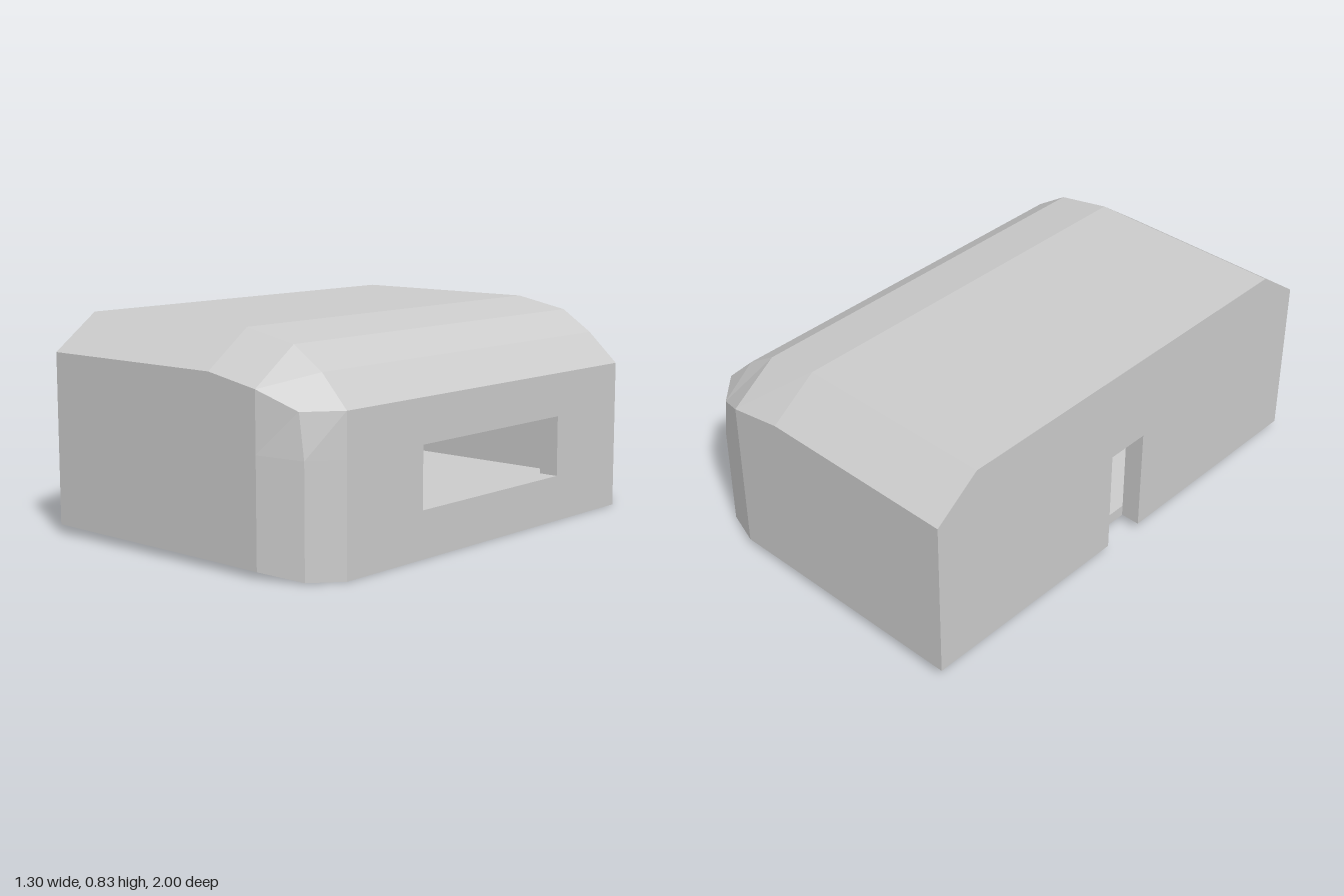
import * as THREE from 'three';

const material = new THREE.MeshStandardMaterial({ color: 0xcccccc, flatShading: true });

// Skin between successive rings of [x, y, z] points; flip turns it inward.
function loft(rings, { closed = false, flip = false } = {}) {
  const pos = [];
  const tri = (...p) => {
    const [a, b, c] = p.map((q) => new THREE.Vector3(...q));
    if (new THREE.Triangle(a, b, c).getArea() < 1e-7) return;
    for (const v of flip ? [a, c, b] : [a, b, c]) pos.push(v.x, v.y, v.z);
  };
  for (let i = 0; i < rings.length - 1; i++) {
    const r = rings[i], s = rings[i + 1], n = r.length;
    for (let j = 0; j < (closed ? n : n - 1); j++) {
      const k = (j + 1) % n;
      tri(r[j], s[j], s[k]);
      tri(r[j], s[k], r[k]);
    }
  }
  const g = new THREE.BufferGeometry();
  g.setAttribute('position', new THREE.Float32BufferAttribute(pos, 3));
  g.computeVertexNormals();
  return g;
}

// Half section (z >= 0, bottom to roof) mirrored to a full arch.
const arch = (half) => [...half, ...half.map(([x, y, z]) => [x, y, -z]).reverse()];

// Flat end wall in the (z, y) plane, facing +x (dir 1) or -x (dir -1).
function endWall(x, outline, dir, hole) {
  const pts = (a) => a.map(([z, y]) => new THREE.Vector2(z, y));
  const shape = new THREE.Shape(pts(outline));
  if (hole) shape.holes.push(new THREE.Path(pts(hole)));
  return new THREE.ShapeGeometry(shape).rotateY((dir * Math.PI) / 2).translate(x, 0, 0);
}
const mirror2 = (half) => [...half, ...half.map(([z, y]) => [-z, y]).reverse()];

export function createModel() {
  const group = new THREE.Group();
  const add = (name, geometry) => {
    const mesh = new THREE.Mesh(geometry, material);
    mesh.name = name;
    group.add(mesh);
  };

  const back = -0.65, backIn = -0.57, front = 0.647, frontIn = 0.567;
  const n = 0.09, notchTop = 0.47, floorTop = 0.08;

  // Outer stations: floor crease, lower edge, side, shoulder, roof edge
  const outer = [
    [[back, 0.035, 0.81], [back, 0.035, 1], [back, 0.42, 1], [back, 0.695, 1], [back, 0.833, 0.81]],
    [[backIn, 0.033, 0.81], [backIn, 0.034, 1], [backIn, 0.42, 1], [backIn, 0.695, 1], [backIn, 0.833, 0.81]],
    [[0.17, 0.012, 0.81], [0.17, 0.028, 1], [0.17, 0.42, 1], [0.17, 0.695, 1], [0.17, 0.833, 0.81]],
    [[0.395, 0.006, 0.81], [0.395, 0.025, 1], [0.395, 0.43, 1], [0.395, 0.655, 1], [0.395, 0.79, 0.81]],
    [[0.56, 0.002, 0.81], [0.56, 0.003, 0.937], [0.56, 0.42, 0.937], [0.537, 0.585, 0.937], [0.525, 0.705, 0.81]],
    [[front, 0, 0.81], [front, 0, 0.82], [front, 0.42, 0.82], [front, 0.587, 0.82], [front, 0.587, 0.82]],
  ];
  add('outerShell', loft(outer.map((h) => arch([[h[0][0], h[0][1], n], ...h]))));
  add('undersideStrip', loft(outer.slice(1).map(([[x, y]]) => [[x, y, -n], [x, y, n]])));

  // Cavity stations: floor edge, side, shoulder, roof edge
  const inner = [
    [backIn, 0.92, 0.65, 0.755, 0.78],
    [0.16, 0.92, 0.65, 0.755, 0.78],
    [0.37, 0.92, 0.61, 0.715, 0.78],
    [0.49, 0.87, 0.555, 0.635, 0.77],
    [frontIn, 0.77, 0.55, 0.55, 0.77],
  ].map(([x, w, shoulder, roof, rw]) =>
    arch([[x, floorTop, w], [x, 0.42, w], [x, shoulder, w], [x, roof, rw]]));
  add('innerShell', loft(inner, { closed: true, flip: true }));

  // Slotted front wall
  const slot = [[0.415, 0.18], [0.415, 0.417], [-0.415, 0.417], [-0.415, 0.18]];
  add('slotWallOuter', endWall(front, mirror2([[0.82, 0], [0.82, 0.587]]), 1, slot));
  add('slotWallInner', endWall(frontIn, mirror2([[0.77, floorTop], [0.77, 0.55]]), -1, slot));
  add('slotReveal', loft([frontIn, front].map((x) => slot.map(([z, y]) => [x, y, z])), { closed: true, flip: true }));

  // Back wall with a notch open at the bottom
  add('notchWallOuter', endWall(back, mirror2(
    [[n, notchTop], [n, 0.035], [1, 0.035], [1, 0.695], [0.81, 0.833]]), -1));
  add('notchWallInner', endWall(backIn, mirror2(
    [[n, notchTop], [n, floorTop], [0.92, floorTop], [0.92, 0.65], [0.78, 0.755]]), 1));
  add('notchReveal', loft([back, backIn].map((x) => arch([[x, 0.034, n], [x, notchTop, n]])), { flip: true }));
  add('notchFloorEdge', loft([0.033, floorTop].map((y) => [[backIn, y, -n], [backIn, y, n]]), { flip: true }));

  return group;
}
